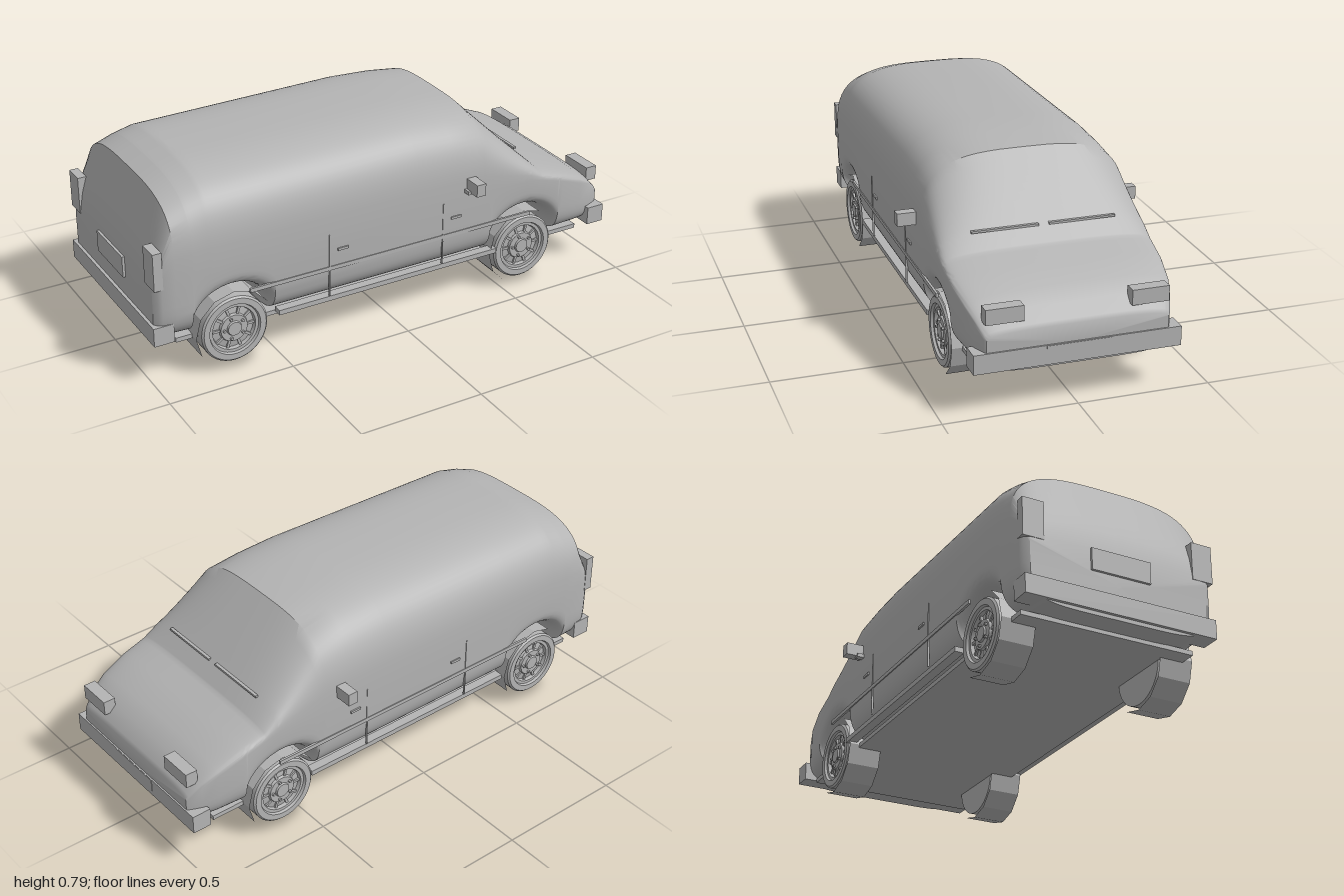
import * as THREE from 'three';
import { toCreasedNormals } from 'three/addons/utils/BufferGeometryUtils.js';

const grey = new THREE.MeshStandardMaterial({ color: 0xb4b4b4 });
grey.name = 'plain grey';

const ARCH_X = [-0.68, 0.6], AXLE_Y = 0.16, ARCH_R = 0.165;

// Body stations along the length: x, roof height, belt height, half width
const KEYS = [
  [-0.988, 0.42, 0.38, 0.36], [-0.975, 0.5, 0.42, 0.378], [-0.96, 0.555, 0.44, 0.388],
  [-0.91, 0.72, 0.45, 0.396], [-0.84, 0.748, 0.45, 0.4], [-0.76, 0.77, 0.45, 0.402],
  [0.1, 0.786, 0.45, 0.403], [0.27, 0.776, 0.45, 0.403], [0.4, 0.758, 0.45, 0.402],
  [0.62, 0.54, 0.45, 0.402], [0.68, 0.482, 0.435, 0.4], [0.78, 0.447, 0.405, 0.397],
  [0.88, 0.41, 0.365, 0.383], [0.94, 0.37, 0.33, 0.365], [0.985, 0.325, 0.29, 0.345],
  [0.994, 0.31, 0.28, 0.338],
];

function station(x) {
  let i = 0;
  while (i < KEYS.length - 2 && x > KEYS[i + 1][0]) i++;
  const a = KEYS[i], b = KEYS[i + 1], t = (x - a[0]) / (b[0] - a[0]);
  return a.map((v, k) => v + (b[k] - v) * t);
}

// The underside rises in a half circle over each axle
function bottomAt(x) {
  let y = 0.16;
  for (const c of ARCH_X) {
    const d = Math.abs(x - c);
    if (d < ARCH_R) y = Math.max(y, AXLE_Y + Math.sqrt(ARCH_R * ARCH_R - d * d));
  }
  return y;
}

function bodyGeometry() {
  const xs = KEYS.map(k => k[0]);
  for (const c of ARCH_X)
    for (let i = 0; i <= 20; i++) xs.push(c - ARCH_R * Math.cos(Math.PI * i / 20));
  xs.sort((a, b) => a - b);
  const N = 72, pos = [], idx = [];
  for (const x of xs) {
    const [, top, belt, half] = station(x);
    const low = bottomAt(x);
    for (let j = 0; j < N; j++) {
      const t = j / N * Math.PI * 2, c = Math.cos(t), s = Math.sin(t);
      const p = 2 / (s >= 0 ? 3.3 : 6);
      const z = Math.sign(c) * Math.pow(Math.abs(c), p) * half;
      const v = Math.pow(Math.abs(s), p);
      pos.push(x, s >= 0 ? belt + v * (top - belt) : belt - v * (belt - low), z);
    }
  }
  for (let i = 0; i < xs.length - 1; i++)
    for (let j = 0; j < N; j++) {
      const k = (j + 1) % N, a = i * N + j, b = a + N, c = i * N + k, d = c + N;
      idx.push(a, b, d, a, d, c);
    }
  // end caps
  const last = (xs.length - 1) * N, centre = pos.length / 3;
  pos.push(xs[0], 0.29, 0, xs[xs.length - 1], 0.24, 0);
  for (let j = 0; j < N; j++) {
    const k = (j + 1) % N;
    idx.push(centre, j, k, centre + 1, last + k, last + j);
  }
  const g = new THREE.BufferGeometry();
  g.setAttribute('position', new THREE.Float32BufferAttribute(pos, 3));
  g.setIndex(idx);
  return toCreasedNormals(g, 0.6);
}

export function createModel() {
  const model = new THREE.Group();
  model.name = 'van';
  const add = (name, geometry, parent = model) => {
    const m = new THREE.Mesh(geometry, grey);
    m.name = name;
    parent.add(m);
    return m;
  };
  // Box given by its extents
  const box = (name, x0, x1, y0, y1, z0, z1) => {
    const m = add(name, new THREE.BoxGeometry(x1 - x0, y1 - y0, Math.abs(z1 - z0)));
    m.position.set((x0 + x1) / 2, (y0 + y1) / 2, (z0 + z1) / 2);
    return m;
  };

  add('body', bodyGeometry());
  box('floor', -0.9, 0.89, 0.145, 0.163, -0.35, 0.35);
  box('frontBumper', 0.925, 1, 0.168, 0.242, -0.387, 0.387);
  box('rearBumper', -1, -0.92, 0.175, 0.25, -0.387, 0.387);
  box('frontPlate', 0.996, 1.002, 0.19, 0.24, -0.12, 0.12);
  box('rearPlate', -0.998, -0.986, 0.33, 0.415, -0.12, 0.12);

  for (const s of [1, -1]) {
    box('headlight', 0.94, 0.988, 0.342, 0.4, s * 0.2, s * 0.34);
    box('tailLight', -0.99, -0.955, 0.4, 0.55, s * 0.305, s * 0.39);
    box('mirror', 0.315, 0.355, 0.482, 0.532, s * 0.4, s * 0.473);
    box('mirrorArm', 0.305, 0.33, 0.475, 0.49, s * 0.385, s * 0.43);
    box('wiper', 0.618, 0.63, 0.534, 0.542, s * 0.02, s * 0.275);
    box('sideMoulding', -0.62, 0.62, 0.3, 0.316, s * 0.396, s * 0.405);
    box('sill', -0.5, 0.47, 0.165, 0.185, s * 0.36, s * 0.397);
    for (const x of [-0.29, 0.21]) {
      box('doorSeam', x - 0.002, x + 0.002, 0.19, 0.45, s * 0.397, s * 0.405);
      box('doorHandle', x + 0.035, x + 0.08, 0.376, 0.386, s * 0.396, s * 0.408);
    }
  }

  // Wheels: faceted open tread around a round tyre, rim and hub
  const tread = toCreasedNormals(
    new THREE.CylinderGeometry(0.157, 0.157, 0.135, 12, 1, true).rotateX(Math.PI / 2), 0.1);
  const profile = [[0, 0.1], [0.134, 0.1], [0.134, 0.225], [0.127, 0.232], [0.104, 0.232], [0.1, 0.222],
    [0.088, 0.222], [0.084, 0.208], [0.058, 0.212], [0.054, 0.222], [0.03, 0.222],
    [0.027, 0.229], [0, 0.229]].map(([r, h]) => new THREE.Vector2(r, h - 0.1625));
  const disc = toCreasedNormals(new THREE.LatheGeometry(profile, 40).rotateX(Math.PI / 2), 0.5);
  const bolt = new THREE.CylinderGeometry(0.006, 0.006, 0.012, 6).rotateX(Math.PI / 2);
  const spoke = new THREE.BoxGeometry(0.03, 0.01, 0.008);
  for (const x of ARCH_X)
    for (const s of [1, -1]) {
      const wheel = new THREE.Group();
      wheel.name = 'wheel';
      wheel.position.set(x, AXLE_Y - 0.003, s * 0.3225);
      if (s < 0) wheel.rotation.y = Math.PI;
      add('tread', tread, wheel);
      add('tyreAndRim', disc, wheel);
      for (let i = 0; i < 10; i++) {
        const a = i / 10 * Math.PI * 2, c = Math.cos(a), n = Math.sin(a);
        const m = add('spoke', spoke, wheel);
        m.position.set(c * 0.07, n * 0.07, 0.05);
        m.rotation.z = a;
        if (i % 2) add('wheelBolt', bolt, wheel).position.set(c * 0.042, n * 0.042, 0.062);
      }
      model.add(wheel);
    }
  return model;
}
